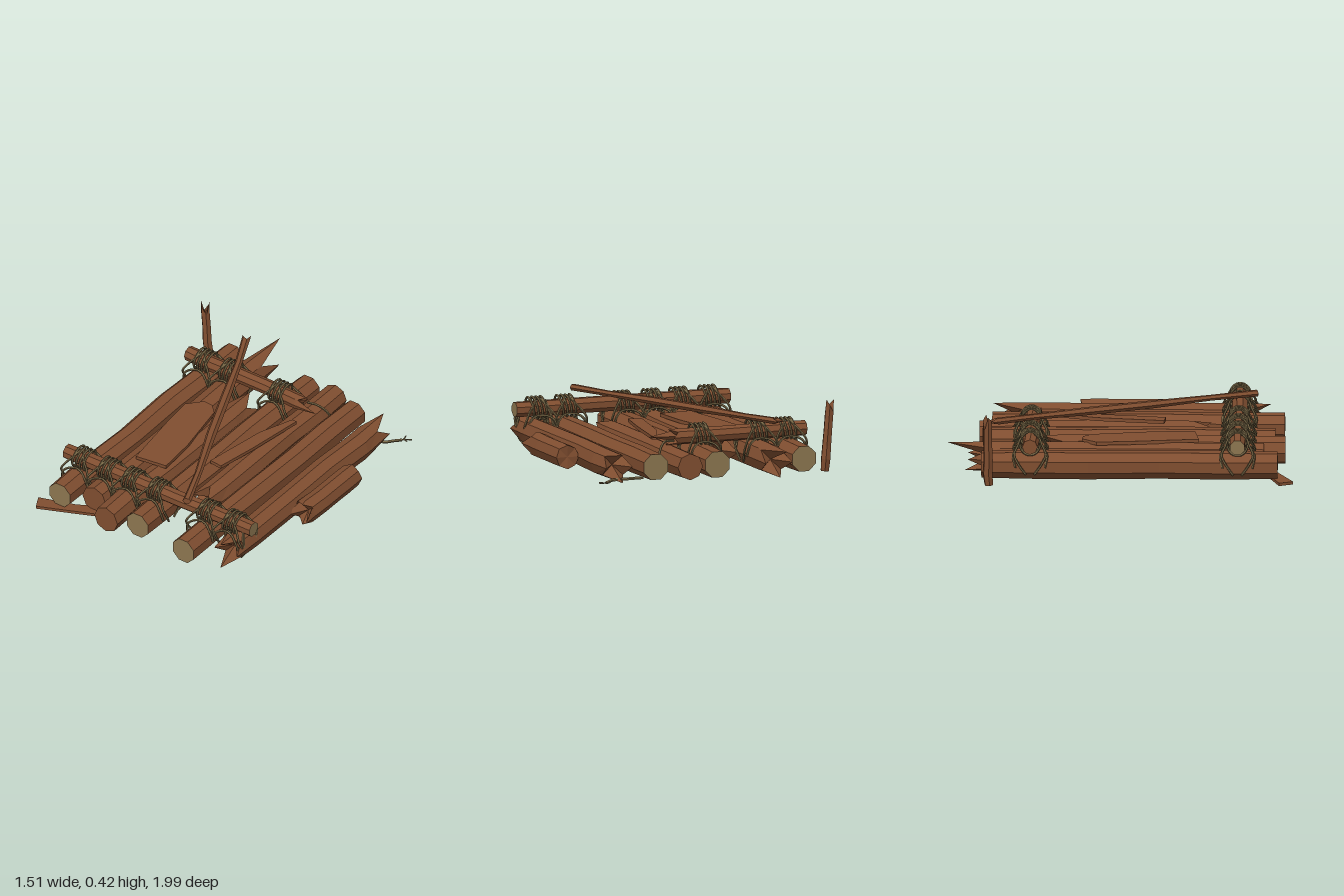
import * as THREE from 'three';

const wood = new THREE.MeshStandardMaterial({ color: 0x804e30, flatShading: true });
wood.name = 'brown wood';
const cut = new THREE.MeshStandardMaterial({ color: 0x8c7650, flatShading: true });
cut.name = 'pale cut wood';
const rope = new THREE.MeshStandardMaterial({ color: 0x766645, flatShading: true });
rope.name = 'rope';

const V = (x, y, z) => new THREE.Vector3(x, y, z);

function seeded(seed) {
  let s = seed;
  return () => (s = (s * 16807) % 2147483647) / 2147483647;
}

// Faceted timber between two points. Jag lists push the rim corners of an end
// in or out; the end then closes on a recessed centre, like snapped wood.
function timber(name, from, to, r, o = {}) {
  const { sides = 8, turn = Math.PI / 8, startJag, endJag, cap = wood, rough = 0.05, seed = 7, flat = 1 } = o;
  const rnd = seeded(seed * 7919);
  for (let i = 0; i < 5; i++) rnd();
  const L = from.distanceTo(to);
  const stops = [0, 0.17, 0.36, 0.6, 0.83, 1];
  const rings = stops.map((t, i) => {
    const end = i === 0 || i === stops.length - 1;
    const k = r * (end ? 0.96 : 1 + (rnd() - 0.5) * 2 * rough);
    const dx = end ? 0 : (rnd() - 0.5) * r * rough * 4;
    return Array.from({ length: sides }, (_, j) => {
      const a = turn + (j / sides) * Math.PI * 2;
      let z = (t - 0.5) * L;
      if (i === 0 && startJag) z += startJag[j % startJag.length];
      if (i === stops.length - 1 && endJag) z -= endJag[j % endJag.length];
      return V(Math.cos(a) * k + dx, Math.sin(a) * k * flat, z);
    });
  });
  const pos = [];
  const tri = (...p) => p.forEach((v) => pos.push(v.x, v.y, v.z));
  for (let i = 0; i < rings.length - 1; i++) {
    for (let j = 0; j < sides; j++) {
      const n = (j + 1) % sides;
      tri(rings[i][j], rings[i][n], rings[i + 1][j]);
      tri(rings[i][n], rings[i + 1][n], rings[i + 1][j]);
    }
  }
  const sideCount = pos.length / 3;
  const deep = (jag) => (jag ? Math.max(...jag) : 0);
  const c0 = V(0, 0, -L / 2 + deep(startJag));
  const c1 = V(0, 0, L / 2 - deep(endJag));
  for (let j = 0; j < sides; j++) {
    const n = (j + 1) % sides;
    tri(c0, rings[0][n], rings[0][j]);
    tri(c1, rings[5][j], rings[5][n]);
  }
  const g = new THREE.BufferGeometry();
  g.setAttribute('position', new THREE.Float32BufferAttribute(pos, 3));
  g.addGroup(0, sideCount, 0);
  g.addGroup(sideCount, pos.length / 3 - sideCount, 1);
  g.computeVertexNormals();
  const m = new THREE.Mesh(g, [wood, cap]);
  m.name = name;
  m.position.copy(from).add(to).multiplyScalar(0.5);
  m.lookAt(to);
  return m;
}

// Flat board from an outline of [x, z] points
function plank(name, outline, y, thick) {
  const s = new THREE.Shape(outline.map(([x, z]) => new THREE.Vector2(x, -z)));
  const g = new THREE.ExtrudeGeometry(s, { depth: thick, bevelEnabled: false });
  g.rotateX(-Math.PI / 2);
  const m = new THREE.Mesh(g, wood);
  m.name = name;
  m.position.y = y;
  return m;
}

function cord(name, pts, closed = false, r = 0.007, seg = 20) {
  const curve = new THREE.CatmullRomCurve3(pts.map((p) => V(...p)), closed);
  const m = new THREE.Mesh(new THREE.TubeGeometry(curve, seg, r, 5, closed), rope);
  m.name = name;
  return m;
}

// Rope binding of a log to a cross beam: coils round the beam, arms down the log
function lashing(x, z) {
  const g = new THREE.Group();
  g.name = 'lashing';
  for (let i = 0; i < 4; i++) {
    const ox = (i - 1.5) * 0.026;
    const pts = Array.from({ length: 10 }, (_, k) => {
      const a = (k / 10) * Math.PI * 2;
      return [ox + Math.sin(a) * 0.012, 0.222 + Math.sin(a) * 0.066, Math.cos(a) * 0.06];
    });
    g.add(cord('coil', pts, true));
  }
  for (const sx of [-1, 1]) {
    for (const sz of [-1, 1]) {
      g.add(cord('arm', [
        [sx * 0.088, 0.05, sz * 0.025], [sx * 0.1, 0.12, sz * 0.07], [sx * 0.094, 0.17, sz * 0.09],
        [sx * 0.065, 0.215, sz * 0.07], [sx * 0.035, 0.25, sz * 0.054], [sx * 0.01, 0.283, sz * 0.015],
      ]));
      g.add(cord('arm', [
        [sx * 0.093, 0.09, sz * 0.085], [sx * 0.075, 0.16, sz * 0.098],
        [sx * 0.04, 0.185, sz * 0.082], [0, 0.19, sz * 0.07],
      ]));
    }
  }
  g.position.set(x, 0, z);
  return g;
}

export function createModel() {
  const raft = new THREE.Group();
  raft.name = 'raft';

  // Deck logs: x, back z, front z, radius, options
  const up = Math.PI / 2;
  const spikes = [0.14, 0.04];
  const logs = [
    [-0.555, -0.8, 0.9, 0.082, { cap: cut }],
    [-0.37, -1, 0.82, 0.086, { turn: up, startJag: [0, 0.26, 0.12, 0.24, 0.1, 0.25, 0.12, 0.26] }],
    [-0.2, -0.48, 0.94, 0.085, { turn: up, startJag: [0.01, 0.15, 0.02, 0.12] }],
    [-0.02, -0.8, 0.88, 0.084, { cap: cut }],
    [0.155, -0.82, 0.55, 0.08, { turn: up, endJag: spikes }],
    [0.34, -0.75, 0.93, 0.083, { cap: cut }],
    [0.545, -0.75, 0.85, 0.084, { turn: up, startJag: [0, 0.17, 0.05, 0.14], endJag: [0, 0.15, 0.05, 0.13] }],
    [0.685, -0.25, 0.3, 0.073, { turn: up, startJag: [0, 0.01], endJag: [0.06, 0.12, 0, 0.1] }],
  ];
  logs.forEach(([x, z0, z1, r, o], i) =>
    raft.add(timber('deckLog', V(x, 0.09, z0), V(x, 0.09, z1), r, { seed: i + 3, ...o })));

  // Cross beams, the rear one snapped
  raft.add(timber('frontBeam', V(-0.67, 0.22, 0.67), V(0.65, 0.22, 0.67), 0.047, { cap: cut, seed: 21 }));
  raft.add(timber('rearBeam', V(-0.67, 0.22, -0.52), V(0.27, 0.215, -0.51), 0.046,
    { seed: 22, turn: up, endJag: [0.1, 0.14, 0, 0.16, 0.08, 0.15, 0.12, 0.15] }));

  // Rope bindings
  for (const x of [-0.55, -0.37, -0.2, -0.02, 0.335, 0.515]) raft.add(lashing(x, 0.67));
  for (const x of [-0.55, -0.37, -0.02]) raft.add(lashing(x, -0.52));

  // Loose ropes
  raft.add(cord('slackLoop', [
    [0.47, 0.27, 0.65], [0.45, 0.17, 0.59], [0.44, 0.05, 0.6], [0.5, 0.02, 0.65],
    [0.59, 0.02, 0.7], [0.615, 0.12, 0.72], [0.59, 0.23, 0.69],
  ], false, 0.008));
  raft.add(cord('trailingRope', [
    [0.41, 0.03, -0.73], [0.5, 0.025, -0.71], [0.58, 0.02, -0.69], [0.63, 0.02, -0.74], [0.66, 0.02, -0.77],
  ], false, 0.009));
  for (const [x, z] of [[0.71, -0.8], [0.7, -0.77], [0.66, -0.81]]) {
    raft.add(cord('frayedStrand', [[0.64, 0.02, -0.75], [0.665, 0.022, -0.775], [x, 0.025, z]], false, 0.004, 6));
  }
  raft.add(cord('brokenTie', [
    [0.15, 0.2, -0.55], [0.21, 0.2, -0.56], [0.25, 0.16, -0.59], [0.27, 0.1, -0.62],
  ]));

  // Loose timber: slanting pole, upright stake, boards
  raft.add(timber('slantingPole', V(-0.43, 0.307, -0.76), V(0.25, 0.31, 0.77), 0.026,
    { sides: 6, turn: 0, rough: 0.2, flat: 0.8, seed: 31, startJag: [0, 0.06, 0.04] }));
  raft.add(timber('uprightStake', V(-0.7, 0.005, -0.755), V(-0.73, 0.42, -0.765), 0.027,
    { sides: 6, turn: 0, rough: 0.12, seed: 33, endJag: [0.03, 0.1, 0] }));
  raft.add(plank('wideBoard', [
    [-0.345, 0.445], [-0.15, 0.42], [-0.17, 0.18], [-0.235, -0.17], [-0.285, -0.22],
    [-0.345, -0.225], [-0.42, -0.14], [-0.4, 0.06],
  ], 0.168, 0.02));
  raft.add(plank('narrowBoard', [
    [0.035, 0.24], [0.115, 0.25], [0.16, 0], [0.21, -0.36], [0.18, -0.36], [0.1, -0.15],
  ], 0.18, 0.02));
  raft.add(plank('groundBoard', [
    [-0.7, 0.91], [-0.66, 0.99], [-0.45, 0.9], [-0.29, 0.83], [-0.26, 0.77], [-0.32, 0.79], [-0.35, 0.76], [-0.48, 0.84],
  ], 0.003, 0.017));

  return raft;
}
